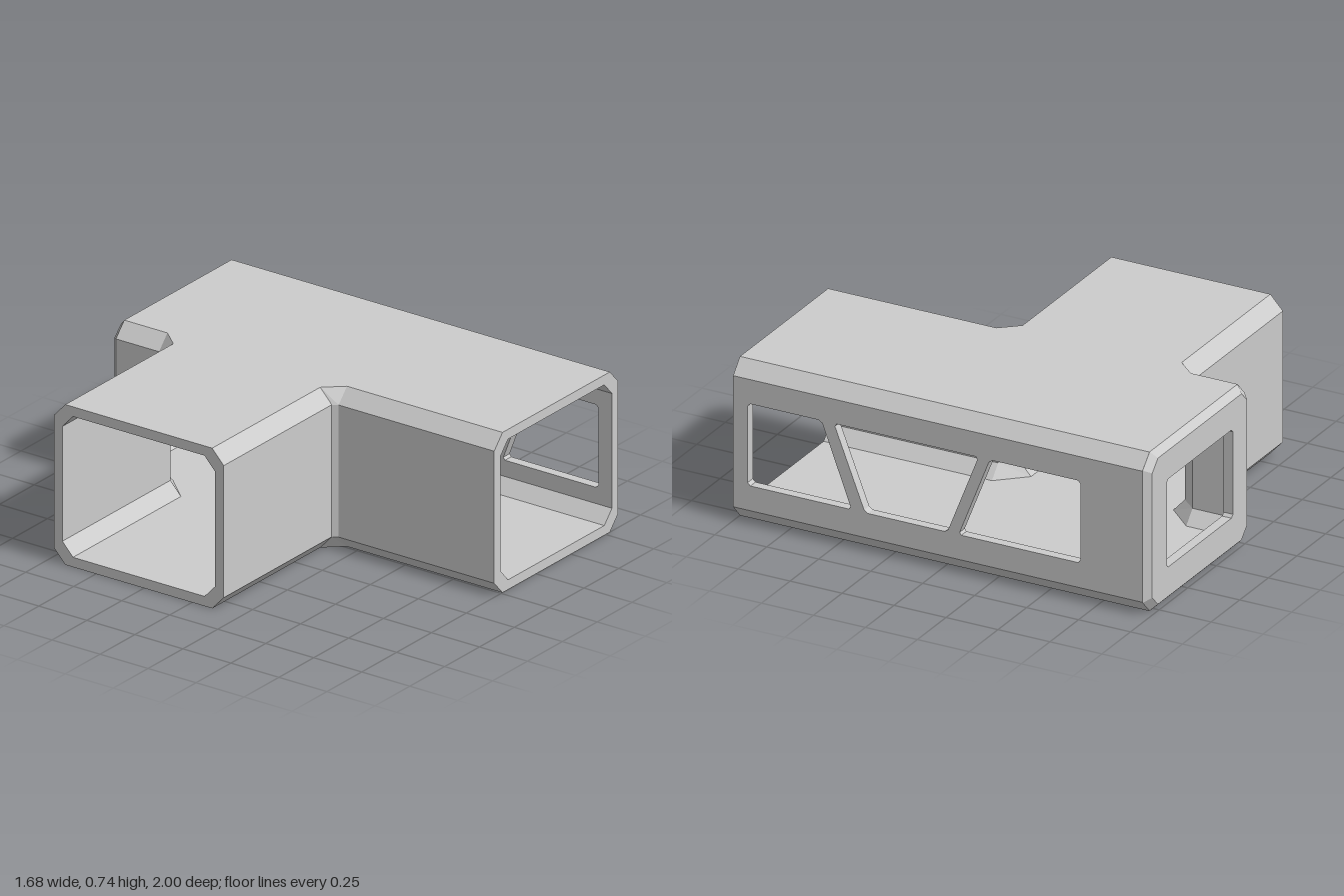
import * as THREE from 'three';

const H = 0.74, WALL = 0.045;
const X0 = -0.05, X1 = 0.84, BACK = -0.97, FRONT = 1;

export function createModel() {
  const group = new THREE.Group();
  const material = new THREE.MeshStandardMaterial({ color: 0xcccccc, flatShading: true });
  const add = (name, geometry) => {
    const mesh = new THREE.Mesh(geometry, material);
    mesh.name = name;
    group.add(mesh);
  };

  // Joins equal closed loops; ends are capped, or the last loop joins the first.
  function loft(loops, ring = false) {
    const n = loops[0].length, tris = [];
    const quad = (a, b, c, d) => tris.push([a, b, c], [a, c, d]);
    const count = ring ? loops.length : loops.length - 1;
    for (let s = 0; s < count; s++) {
      const A = loops[s], B = loops[(s + 1) % loops.length];
      for (let i = 0; i < n; i++) quad(A[i], A[(i + 1) % n], B[(i + 1) % n], B[i]);
    }
    if (!ring) {
      const E = loops[loops.length - 1], S = loops[0];
      for (let i = 0; i < n / 2 - 1; i++) {
        const j = n - 1 - i;
        quad(S[i], S[j], S[j - 1], S[i + 1]);
        quad(E[i], E[i + 1], E[j - 1], E[j]);
      }
    }
    // Turn the solid outward whichever way its loops run.
    let volume = 0;
    for (const [a, b, c] of tris) volume += a.dot(b.clone().cross(c));
    if (volume < 0) tris.forEach((t) => t.reverse());
    const geometry = new THREE.BufferGeometry().setFromPoints(tris.flat());
    geometry.computeVertexNormals();
    return geometry;
  }

  // Sweeps a wall section of [inset, y] along plan stations [x, z, insetX, insetZ].
  const sweep = (stations, section) => loft(stations.map(([x, z, ix, iz]) =>
    section.map(([d, y]) => new THREE.Vector3(x + ix * d, y, z + iz * d))));

  const plate = (points, depth, holes = []) => {
    const toPoints = (list) => list.map(([x, y]) => new THREE.Vector2(x, y));
    const shape = new THREE.Shape(toPoints(points));
    holes.forEach((h) => shape.holes.push(new THREE.Path(toPoints(h))));
    return new THREE.ExtrudeGeometry(shape, { depth, bevelEnabled: false });
  };

  // Cuts every corner of an outline by a small amount.
  const cutCorners = (points, r = 0.013) => points.flatMap((p, i) => {
    const n = points.length;
    return [points[(i + n - 1) % n], points[(i + 1) % n]].map((q) => {
      const t = r / Math.hypot(q[0] - p[0], q[1] - p[1]);
      return [p[0] + (q[0] - p[0]) * t, p[1] + (q[1] - p[1]) * t];
    });
  });

  // Roof and floor
  const plan = [
    [0.78, 1], [0.01, 1], [0.01, 0.19], [-0.065, 0.105], [-0.84, 0.105],
    [-0.84, -0.66], [-0.065, -0.66], [0.01, -0.745], [0.01, BACK], [0.78, BACK],
  ].map(([x, z]) => [x, -z]);
  for (const [name, y] of [['floor', 0], ['roof', H - WALL]]) {
    add(name, plate(plan, WALL).rotateX(-Math.PI / 2).translate(0, y, 0));
  }

  // Solid walls that turn from the main corridor into the side branch
  const wallSection = [
    [0.06, 0], [0, 0.065], [0, H - 0.065], [0.06, H],
    [0.1, H - WALL], [WALL, 0.635], [WALL, 0.105], [0.1, WALL],
  ];
  add('backBranchWall', sweep([
    [X0, BACK, 1, 0], [X0, -0.745, 1, 0], [-0.065, -0.72, 0, 1], [-0.84, -0.72, 0, 1],
  ], wallSection));
  add('frontBranchWall', sweep([
    [X0, FRONT, 1, 0], [X0, 0.19, 1, 0], [-0.065, 0.165, 0, -1], [-0.84, 0.165, 0, -1],
  ], wallSection));

  // Sloped edges of the windowed wall
  const leftPath = [[X1, BACK, -1, 0], [X1, FRONT, -1, 0]];
  const upper = wallSection.slice(2, 6);
  add('upperSlopedEdge', sweep(leftPath, upper));
  add('lowerSlopedEdge', sweep(leftPath, upper.map(([d, y]) => [d, H - y])));

  // Windowed wall with slanted bars
  const windows = [
    [[0.93, 0.18], [0.43, 0.18], [0.575, 0.562], [0.93, 0.562]],
    [[0.365, 0.18], [-0.03, 0.18], [-0.18, 0.562], [0.515, 0.562]],
    [[-0.085, 0.18], [-0.672, 0.18], [-0.672, 0.562], [-0.235, 0.562]],
  ].map((w) => cutCorners(w.map(([z, y]) => [-z, y])));
  const wall = [[-FRONT, 0.065], [-BACK, 0.065], [-BACK, H - 0.065], [-FRONT, H - 0.065]];
  add('windowWall', plate(wall, WALL, windows).rotateY(Math.PI / 2).translate(X1 - WALL, 0, 0));

  // End wall with one window
  const octagon = (inset, c) => {
    const a = X0 + inset, b = X1 - inset, lo = inset, hi = H - inset;
    return [[a + c, lo], [b - c, lo], [b, lo + c], [b, hi - c],
      [b - c, hi], [a + c, hi], [a, hi - c], [a, lo + c]];
  };
  const endWindow = cutCorners([[0.105, 0.167], [0.683, 0.167], [0.683, 0.577], [0.105, 0.577]]);
  add('endWall', plate(octagon(0.03, 0.05), WALL, [endWindow]).translate(0, 0, -1));

  // Bevelled frame around the end wall, inside and out
  const frame = [[0, 0.0625, BACK], [0.03, 0.05, -1], [0.03, 0.05, -0.955],
    [0.065, 0.05, -0.955], [WALL, 0.058, -0.93]];
  add('endFrame', loft(frame.map(([inset, c, z]) =>
    octagon(inset, c).map(([x, y]) => new THREE.Vector3(x, y, z))), true));

  return group;
}
